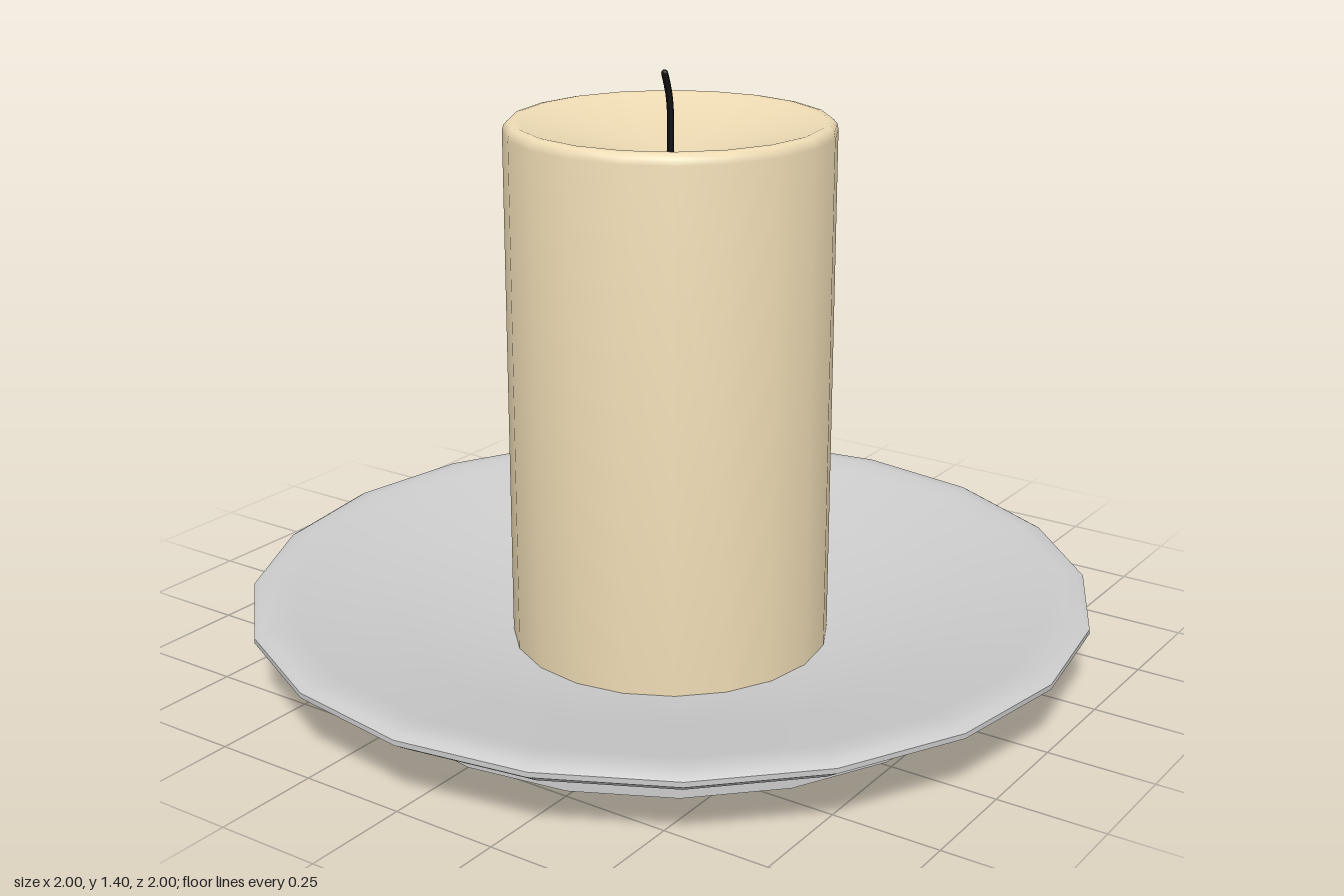
import * as THREE from 'three';
import { toCreasedNormals } from 'three/addons/utils/BufferGeometryUtils.js';

const SIDES = 20;

export function createModel() {
  const model = new THREE.Group();
  const grey = new THREE.MeshStandardMaterial({ color: 0xcccccc });
  const wax = new THREE.MeshStandardMaterial({ color: 0xeedbb4 });
  const black = new THREE.MeshStandardMaterial({ color: 0x0c0c0c });

  // Turned part: profile runs from the underside, round the outside, to the top
  function turned(name, profile, material, crease = 0.9) {
    const points = profile.map(([r, y]) => new THREE.Vector2(r, y));
    const geometry = toCreasedNormals(new THREE.LatheGeometry(points, SIDES), crease);
    const mesh = new THREE.Mesh(geometry, material);
    mesh.name = name;
    model.add(mesh);
  }

  // Flat foot ring with a closed base
  turned('foot', [[0, 0], [0.77, 0], [0.77, 0.095]], grey);

  // Shallow dish with a thin rolled rim
  turned('dish', [
    [0.74, 0.086], [0.95, 0.12], [1, 0.152], [1, 0.164], [0.985, 0.173], [0.95, 0.175],
    [0.9, 0.165], [0.65, 0.1], [0.38, 0.042], [0, 0.025],
  ], grey);

  // Pillar candle with a rounded edge and a dished top
  turned('candle', [
    [0.38, 0.03], [0.38, 1.265], [0.377, 1.278], [0.369, 1.287], [0.355, 1.29],
    [0.34, 1.286], [0, 1.212],
  ], wax);

  // Slightly bent wick, closed at the tip
  const path = new THREE.CatmullRomCurve3([
    new THREE.Vector3(0, 1.2, 0),
    new THREE.Vector3(0, 1.3, 0),
    new THREE.Vector3(-0.002, 1.35, 0.004),
    new THREE.Vector3(-0.007, 1.395, 0.013),
  ]);
  const wick = new THREE.Mesh(new THREE.TubeGeometry(path, 8, 0.008, 8), black);
  wick.name = 'wick';
  const tip = new THREE.Mesh(new THREE.SphereGeometry(0.008, 8, 6), black);
  tip.name = 'wickTip';
  tip.position.copy(path.getPoint(1));
  model.add(wick, tip);

  return model;
}
